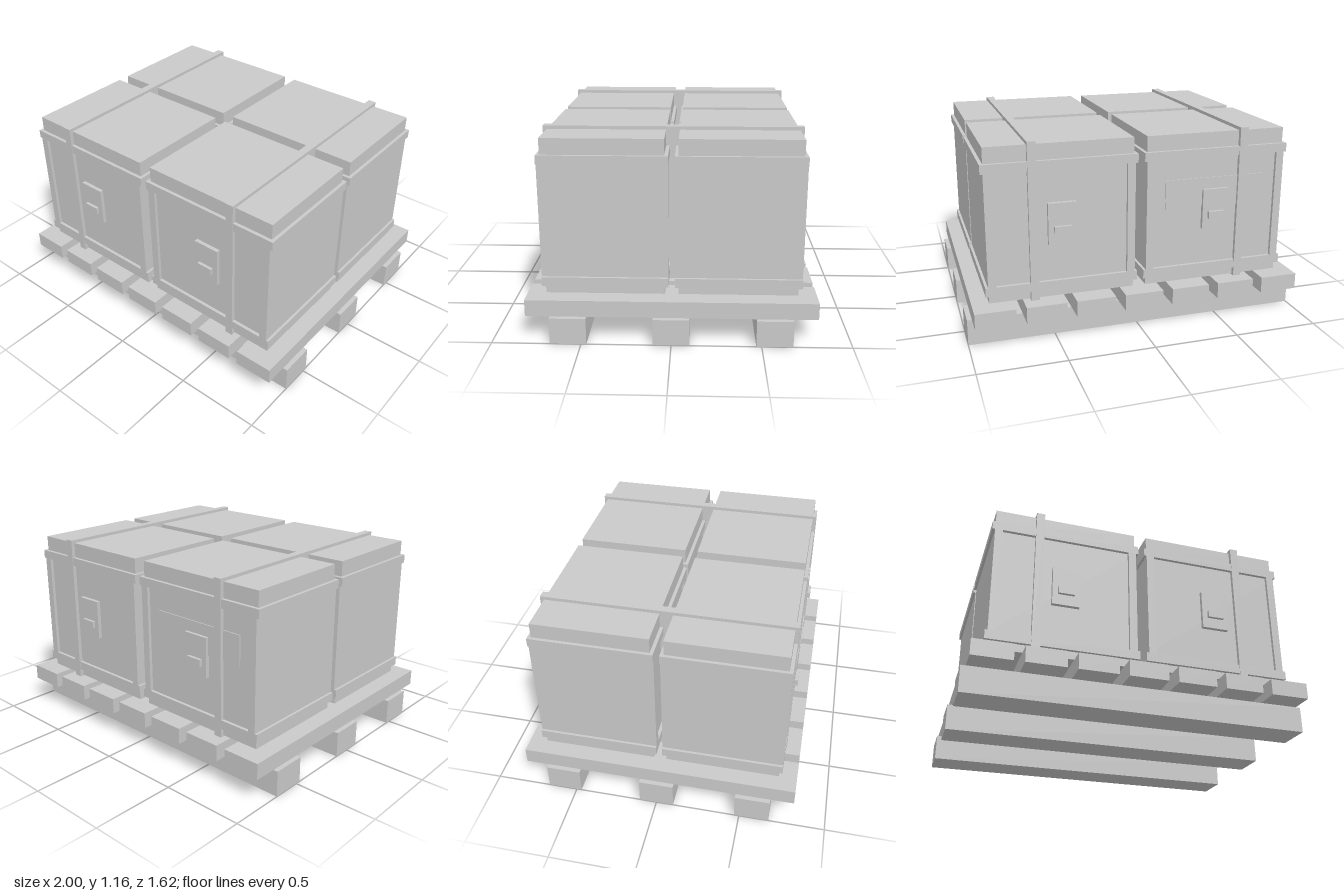
import * as THREE from 'three';

const grey = new THREE.MeshStandardMaterial({ color: 0xc9c9c9 });
grey.name = 'light grey';

// Box given by its extents along each axis
function block(parent, name, [x0, x1], [y0, y1], [z0, z1]) {
  const mesh = new THREE.Mesh(new THREE.BoxGeometry(x1 - x0, y1 - y0, z1 - z0), grey);
  mesh.position.set((x0 + x1) / 2, (y0 + y1) / 2, (z0 + z1) / 2);
  mesh.name = name;
  parent.add(mesh);
  return mesh;
}

// Symmetric extent about zero
const span = (h) => [-h, h];

// One crate, centred on its own x and z
function createCrate() {
  const crate = new THREE.Group();
  crate.name = 'crate';
  const rimX = 0.438, rimZ = 0.353, bodyX = 0.423, panelZ = 0.334;
  block(crate, 'crateBase', span(0.419), [0.254, 0.3], span(0.333));
  block(crate, 'lowerBand', span(rimX), [0.3, 0.353], span(rimZ));
  block(crate, 'crateBody', span(bodyX), [0.353, 0.998], span(panelZ));
  block(crate, 'upperBand', span(rimX), [0.998, 1.049], span(rimZ));
  block(crate, 'lid', span(0.419), [1.049, 1.139], span(0.333));

  for (const s of [-1, 1]) {
    const end = new THREE.Group();
    end.name = 'crateEnd';
    // Corner posts framing the recessed panel
    for (const x of [-bodyX, bodyX - 0.046]) {
      block(end, 'cornerPost', [x, x + 0.046], [0.353, 0.998], [panelZ - 0.01, rimZ]);
    }
    // Latch plate and its handle
    block(end, 'latchPlate', span(0.08), [0.57, 0.808], [panelZ - 0.01, 0.357]);
    block(end, 'latchHandle', span(0.048), [0.635, 0.677], [0.35, 0.375]);
    if (s < 0) end.rotation.y = Math.PI;
    crate.add(end);
  }
  return crate;
}

export function createModel() {
  const model = new THREE.Group();
  model.name = 'palletOfCrates';

  // Pallet: three runners under seven slats
  const pallet = new THREE.Group();
  pallet.name = 'pallet';
  for (const z of [-0.572, 0, 0.572]) {
    block(pallet, 'runner', span(1), [0, 0.153], [z - 0.102, z + 0.102]);
  }
  for (let i = -3; i <= 3; i++) {
    const x = i * 0.286;
    block(pallet, 'slat', [x - 0.114, x + 0.114], [0.153, 0.248], span(0.81));
  }
  model.add(pallet);

  // Four crates, two by two
  for (const sx of [-1, 1]) {
    for (const sz of [-1, 1]) {
      const crate = createCrate();
      crate.position.set(sx * 0.457, 0, sz * 0.371);
      model.add(crate);
    }
  }

  // Straps running front to back over the crates
  for (const s of [-1, 1]) {
    const x = s * 0.619;
    block(model, 'strap', [x - 0.024, x + 0.024], [0.248, 1.158], span(0.727));
  }

  // Plain label on the back of one crate
  block(model, 'label', [-0.76, -0.152], [0.7, 0.875], [-0.711, -0.704]);

  return model;
}
